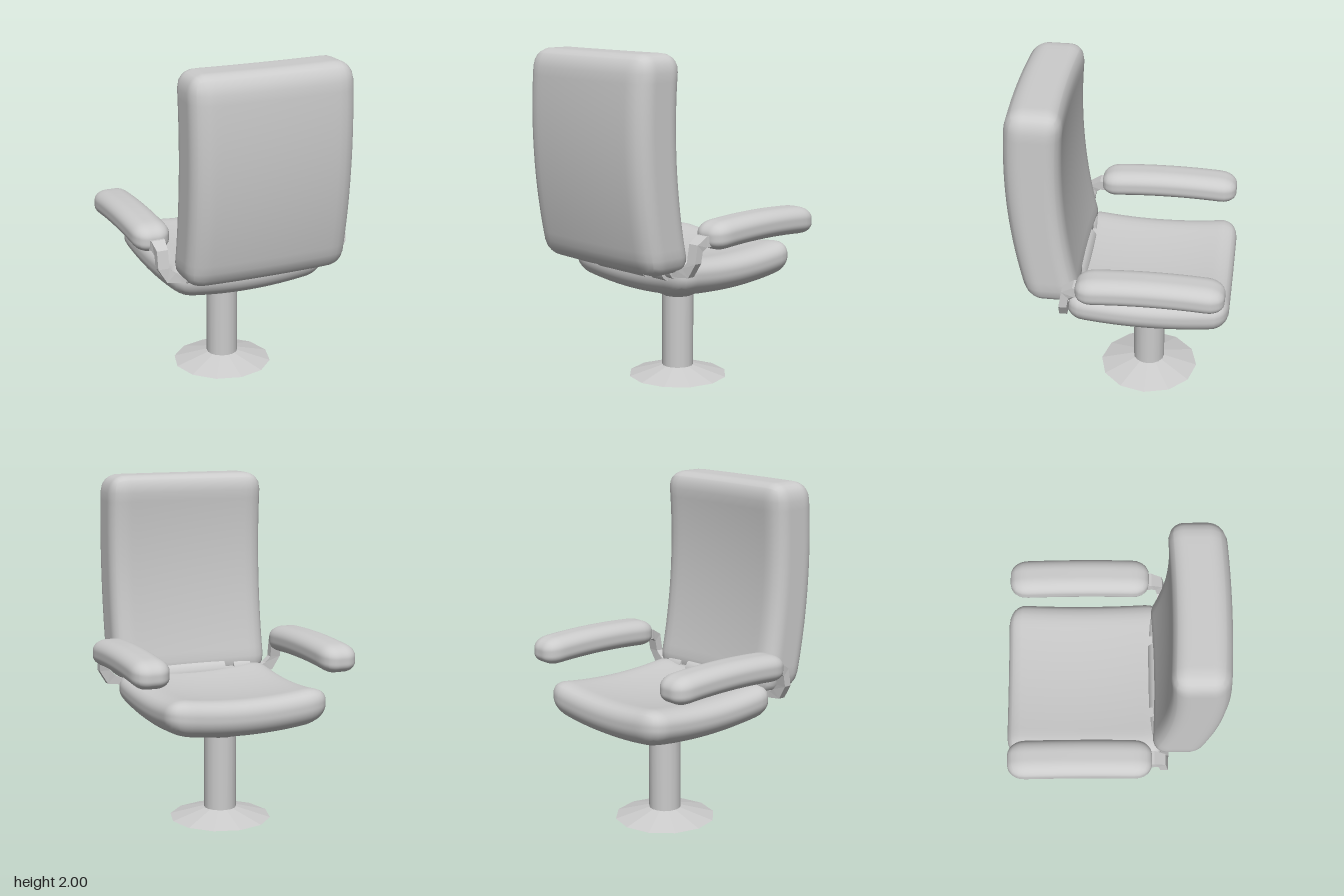
import * as THREE from 'three';
import { mergeVertices } from 'three/addons/utils/BufferGeometryUtils.js';

const smooth = new THREE.MeshStandardMaterial({ color: 0xcccccc });
const faceted = new THREE.MeshStandardMaterial({ color: 0xcccccc, flatShading: true });

function part(name, geometry, material, x = 0, y = 0, z = 0) {
  const mesh = new THREE.Mesh(geometry, material);
  mesh.name = name;
  mesh.position.set(x, y, z);
  return mesh;
}

// Box with half sizes h, edges rounded by radii r, then bent by a rule
function cushion(h, r, bend) {
  let g = new THREE.BoxGeometry(2 * h[0], 2 * h[1], 2 * h[2], 24, 24, 24);
  g.deleteAttribute('uv');
  g.deleteAttribute('normal');
  const pos = g.attributes.position;
  const v = new THREE.Vector3(), core = new THREE.Vector3(), d = new THREE.Vector3();
  const radii = new THREE.Vector3(...r);
  const inner = new THREE.Vector3(...h).sub(radii);
  for (let i = 0; i < pos.count; i++) {
    v.fromBufferAttribute(pos, i);
    core.copy(v).clamp(inner.clone().negate(), inner);
    d.copy(v).sub(core).divide(radii).normalize().multiply(radii);
    v.copy(core).add(d);
    bend(v);
    pos.setXYZ(i, v.x, v.y, v.z);
  }
  g = mergeVertices(g, 1e-5);
  g.computeVertexNormals();
  return g;
}

// Four-sided bar through sections [centre, half-width vector, half-depth vector]
function bar(sections, side) {
  const points = [], index = [];
  for (const [c, a, b] of sections) {
    for (const [p, q] of [[1, 1], [-1, 1], [-1, -1], [1, -1]]) {
      const k = q * side;
      points.push(side * (c[0] + p * a[0] + k * b[0]), c[1] + p * a[1] + k * b[1], c[2] + p * a[2] + k * b[2]);
    }
  }
  const n = sections.length;
  for (let s = 0; s < n - 1; s++) {
    for (let i = 0; i < 4; i++) {
      const j = (i + 1) % 4, u = s * 4, w = u + 4;
      index.push(u + i, u + j, w + j, u + i, w + j, w + i);
    }
  }
  const e = (n - 1) * 4;
  index.push(0, 2, 1, 0, 3, 2, e, e + 1, e + 2, e, e + 2, e + 3);
  const g = new THREE.BufferGeometry();
  g.setAttribute('position', new THREE.Float32BufferAttribute(points, 3));
  g.setIndex(index);
  g.computeVertexNormals();
  return g;
}

export function createModel() {
  const chair = new THREE.Group();
  chair.name = 'swivelChair';

  // Pedestal: flared foot, round post and mounting cone under the seat
  const px = -0.01, pz = -0.14;
  chair.add(part('pedestalFoot', new THREE.CylinderGeometry(0.095, 0.3, 0.06, 12), faceted, px, 0.03, pz));
  chair.add(part('pedestalPost', new THREE.CylinderGeometry(0.095, 0.095, 0.48, 16, 1, true), smooth, px, 0.29, pz));
  chair.add(part('seatMount', new THREE.CylinderGeometry(0.25, 0.095, 0.075, 12), faceted, px, 0.54, pz));

  // Dished seat with raised corners
  chair.add(part('seat', cushion([0.49, 0.105, 0.475], [0.13, 0.095, 0.1], (v) => {
    v.y += 0.045 * (v.x / 0.49) ** 2 + 0.04 * (v.z / 0.475) ** 2;
  }), smooth, 0, 0.675, -0.165));

  // Curved backrest, hollow towards the sitter
  chair.add(part('backrest', cushion([0.49, 0.615, 0.16], [0.1, 0.1, 0.1], (v) => {
    v.z -= 0.15 * (v.y - 0.215) ** 2 + 0.02 * (v.x / 0.49) ** 2;
  }), smooth, 0, 1.385, 0.486));

  // Hinge between seat and backrest
  const hinge = new THREE.Group();
  hinge.name = 'hinge';
  hinge.position.set(0, 0.79, 0.29);
  const barrels = [['hingeRod', 0, 0.84, 0.055], ['centreBarrel', 0, 0.4, 0.08],
    ['leftBarrel', 0.315, 0.11, 0.075], ['rightBarrel', -0.315, 0.11, 0.075]];
  for (const [name, x, length, radius] of barrels) {
    const g = new THREE.CylinderGeometry(radius, radius, length, 16).rotateZ(Math.PI / 2);
    hinge.add(part(name, g, smooth, x));
  }
  chair.add(hinge);

  // Armrests and their cranked brackets
  const bracket = [
    [[0.565, 0.965, 0.16], [0.05, 0, 0], [0, 0.03, 0]],
    [[0.562, 0.965, 0.235], [0.04, 0, 0], [0, 0.03, 0]],
    [[0.562, 0.935, 0.28], [0.033, 0, 0], [0, 0.02, 0.02]],
    [[0.562, 0.85, 0.295], [0.033, 0, 0], [0, 0, 0.023]],
    [[0.52, 0.79, 0.3], [0.024, -0.024, 0], [0, 0, 0.023]],
    [[0.46, 0.775, 0.303], [0, -0.02, 0], [0, 0, 0.023]],
    [[0.32, 0.78, 0.3], [0, -0.02, 0], [0, 0, 0.023]],
  ];
  for (const side of [1, -1]) {
    const label = side > 0 ? 'left' : 'right';
    chair.add(part(label + 'Armrest', cushion([0.11, 0.08, 0.42], [0.085, 0.065, 0.1], (v) => {
      v.y -= 0.02 * (v.z / 0.42) ** 2;
    }), smooth, side * 0.57, 1.003, -0.2));
    chair.add(part(label + 'Bracket', bar(bracket, side), faceted));
  }
  return chair;
}
